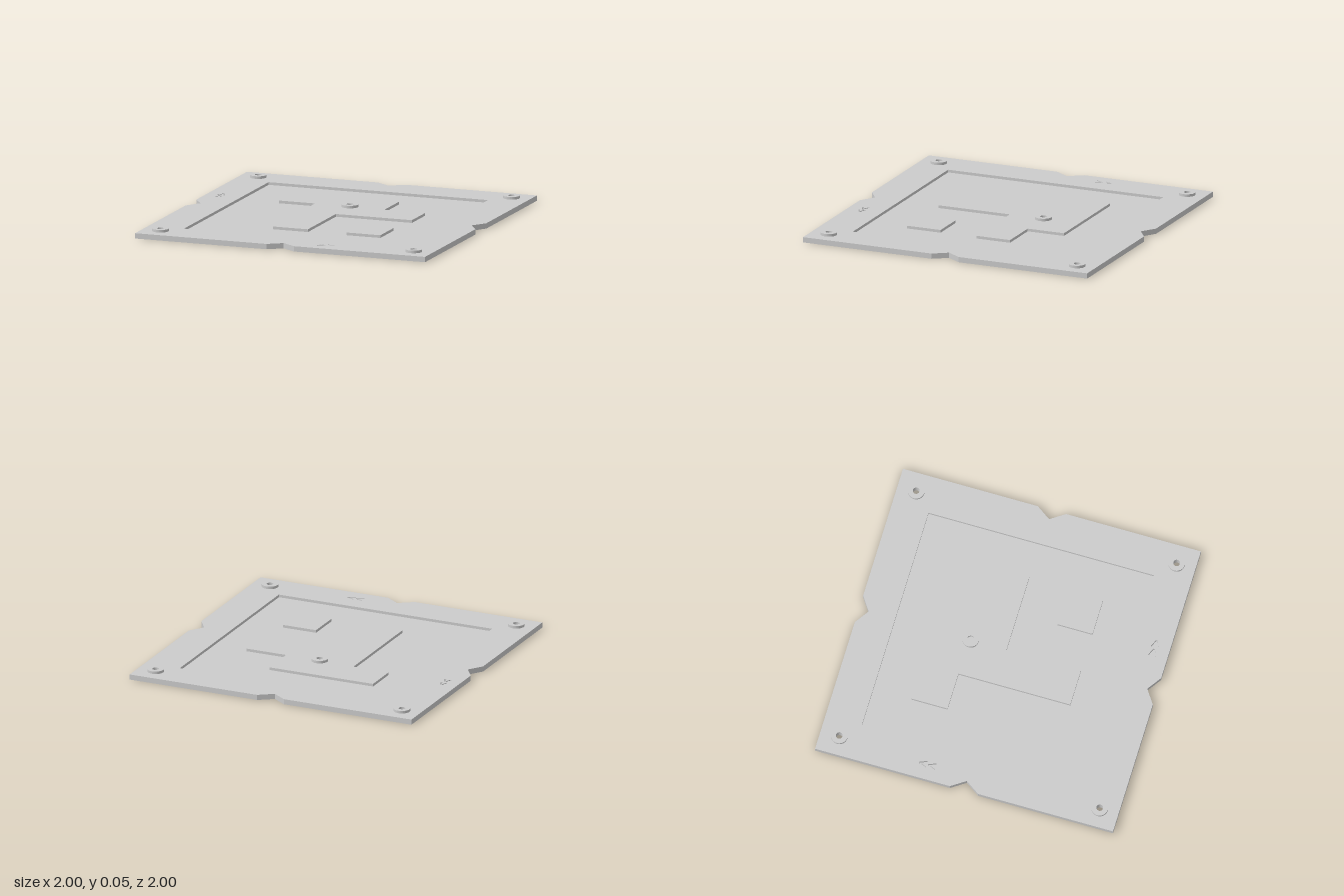
import * as THREE from 'three';

const FLOOR = 0.017, TOP = 0.035, BOSS_TOP = 0.052;
const HOLE_R = 0.022, BOSS_R = 0.054, CORNER = 0.874, CENTRE_Z = -0.25;

export function createModel() {
  const model = new THREE.Group();
  model.name = 'basePlate';
  const material = new THREE.MeshStandardMaterial({ color: 0xcccccc, flatShading: true });

  // Plan points are [x, z]
  const points = (list) => list.map(([x, z]) => new THREE.Vector2(x, -z));
  const rect = (x0, z0, x1, z1) => [[x0, z0], [x1, z0], [x1, z1], [x0, z1]];
  const circle = (x, z, r) => new THREE.Path().absarc(x, -z, r, 0, Math.PI * 2, true);
  const path = (list) => new THREE.Path(points(list));

  // Extrude a plan outline upwards between two heights
  function slab(name, shape, holes, y0, y1) {
    shape.holes.push(...holes);
    const geometry = new THREE.ExtrudeGeometry(shape, { depth: y1 - y0, bevelEnabled: false, curveSegments: 16 });
    geometry.rotateX(-Math.PI / 2).translate(0, y0, 0);
    const mesh = new THREE.Mesh(geometry, material);
    mesh.name = name;
    model.add(mesh);
  }

  // Square outline with a V notch in the middle of each side
  const side = [[-1, 1], [-0.095, 1], [0, 0.935], [0.095, 1]];
  const outline = [];
  for (let i = 0; i < 4; i++) {
    for (const [a, b] of side) {
      outline.push([[a, b], [b, -a], [-a, -b], [-b, a]][i]);
    }
  }
  const corners = [[-1, -1], [1, -1], [1, 1], [-1, 1]].map(([x, z]) => [x * CORNER, z * CORNER]);
  const cornerHoles = () => corners.map(([x, z]) => circle(x, z, HOLE_R));

  // Engraved direction arrows beside the front and left edges
  const arrow = [[0, -0.026], [0.05, -0.005], [0.05, 0.005], [0, 0.026], [0, 0.015], [0.036, 0], [0, -0.015]];
  const arrows = [];
  for (const offset of [0, 0.06]) {
    arrows.push(path(arrow.map(([x, z]) => [0.225 + offset + x, 0.9 + z])));
    arrows.push(path(arrow.map(([x, z]) => [-0.9 + z, -0.22 - offset - x])));
  }

  // Thin bottom sheet and the raised frame around the pocket
  slab('bottomSheet', new THREE.Shape(points(outline)),
    [...cornerHoles(), circle(0, CENTRE_Z, HOLE_R)], 0, FLOOR);
  slab('raisedFrame', new THREE.Shape(points(outline)),
    [...cornerHoles(), path(rect(-0.757, -0.757, 0.757, 0.757)), ...arrows], FLOOR, TOP);

  // Islands standing in the pocket, level with the frame
  slab('steppedIsland', new THREE.Shape(points([
    [-0.495, -0.5], [0.24, -0.5], [0.24, -0.245], [0.52, -0.245], [0.52, -0.01],
    [-0.005, -0.01], [-0.005, 0.49], [-0.245, 0.49], [-0.245, -0.26], [-0.495, -0.26],
  ])), [], FLOOR, TOP);
  slab('squareIsland', new THREE.Shape(points(rect(0.26, 0.255, 0.495, 0.49))), [], FLOOR, TOP);

  // Round bosses; the centre one is blind
  const boss = (name, x, z) => slab(name,
    new THREE.Shape().absarc(x, -z, BOSS_R, 0, Math.PI * 2, false),
    [circle(x, z, HOLE_R)], TOP, BOSS_TOP);
  corners.forEach(([x, z]) => boss('cornerBoss', x, z));
  boss('centreBoss', 0, CENTRE_Z);

  return model;
}
